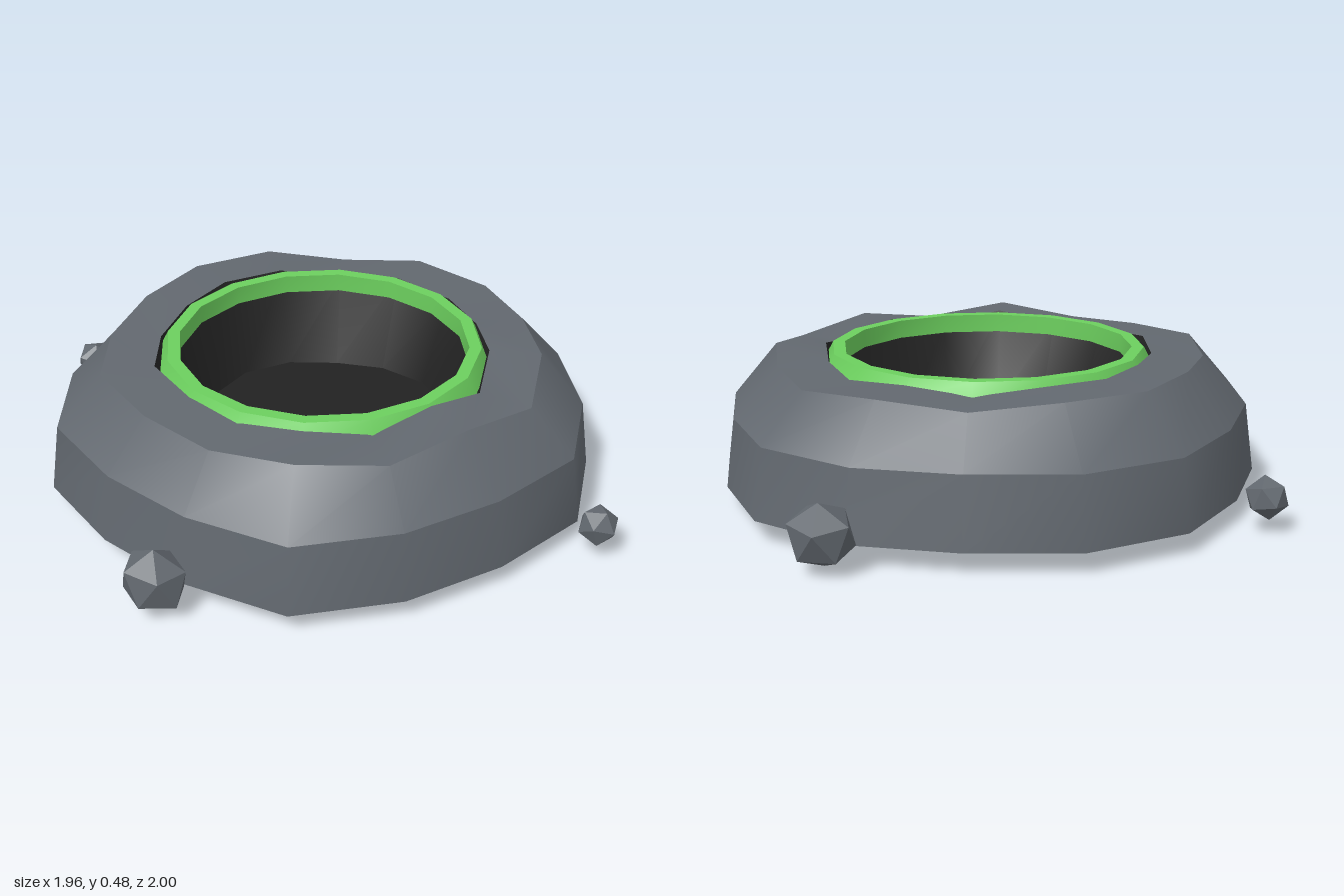
import * as THREE from 'three';

const rock = new THREE.MeshStandardMaterial({ color: 0x62686f });
rock.name = 'stone grey';
const pit = new THREE.MeshStandardMaterial({ color: 0x222222 });
pit.name = 'pit black';
const glow = new THREE.MeshStandardMaterial({ color: 0x6ccf5e });
glow.name = 'rim green';
const pebble = new THREE.MeshStandardMaterial({ color: 0x62686f });
pebble.name = 'pebble grey';
pebble.flatShading = true;

const SIDES = 16;
const CX = -0.015;

// Uneven radius of the mound and height of its rim, clockwise from the back
const RADII = [0.92, 0.91, 0.87, 0.9, 0.92, 0.88, 0.89, 0.92, 0.87, 0.88, 0.92, 0.87, 0.87, 0.92, 0.89, 0.88];
const TOPS = [0.48, 0.48, 0.45, 0.475, 0.46, 0.47, 0.485, 0.45, 0.49, 0.45, 0.49, 0.46, 0.47, 0.48, 0.47, 0.48];

const ring = (radiusAt, heightAt) => Array.from({ length: SIDES }, (_, k) => {
  const a = (k / SIDES) * Math.PI * 2;
  const r = radiusAt(k);
  return [CX + r * Math.sin(a), heightAt(k), -r * Math.cos(a)];
});
const uneven = (scale, y) => ring(k => RADII[k] * scale, typeof y === 'function' ? y : () => y);
const even = (r, y) => ring(() => r, () => y);

// One band between two rings: smooth around, creased against its neighbours
function band(name, from, to, material) {
  const index = [];
  for (let i = 0; i < SIDES; i++) {
    const j = (i + 1) % SIDES;
    index.push(i, SIDES + i, j, j, SIDES + i, SIDES + j);
  }
  const g = new THREE.BufferGeometry();
  g.setAttribute('position', new THREE.Float32BufferAttribute([...from, ...to].flat(), 3));
  g.setIndex(index);
  g.computeVertexNormals();
  const mesh = new THREE.Mesh(g, material);
  mesh.name = name;
  return mesh;
}

export function createModel() {
  const model = new THREE.Group();
  model.name = 'crater';

  // Rocky mound, from the underside up and over to the rim
  const base = uneven(1, 0.08);
  const shoulder = uneven(0.965, 0.305);
  const crown = uneven(0.8, k => TOPS[k] - 0.004);
  const lip = uneven(0.61, k => TOPS[k]);
  const floor = uneven(0.49, 0.16);
  const mound = new THREE.Group();
  mound.name = 'mound';
  mound.add(
    band('underside', even(0, 0.08), base, rock),
    band('lowerSide', base, shoulder, rock),
    band('upperSlope', shoulder, crown, rock),
    band('topFace', crown, lip, rock),
  );
  model.add(mound);

  // Dark hollow
  const hollow = new THREE.Group();
  hollow.name = 'hollow';
  hollow.add(
    band('hollowWall', lip, floor, pit),
    band('hollowFloor', floor, even(0, 0.16), pit),
  );
  model.add(hollow);

  // Green ring set into the rim
  const profile = [[0.548, 0.435], [0.518, 0.492], [0.478, 0.492], [0.478, 0.43]].map(([r, y]) => even(r, y));
  const greenRing = new THREE.Group();
  greenRing.name = 'greenRing';
  ['ringOuter', 'ringTop', 'ringInner', 'ringBottom'].forEach((name, i) =>
    greenRing.add(band(name, profile[i], profile[(i + 1) % 4], glow)));
  model.add(greenRing);

  // Loose stones around the foot, corner pointing up before they are turned
  const stone = new THREE.IcosahedronGeometry(1, 0).rotateZ(-Math.atan(2 / (1 + Math.sqrt(5))));
  [
    ['rightStone', [-0.9, 0.122, 0.31], 0.112, [0.05, 0.4, 0], 0.85],
    ['leftStone', [0.89, 0.127, -0.335], 0.108, [0, 0.7, -0.25], 0.9],
    ['frontStone', [0.33, 0.12, 0.94], 0.066, [Math.PI / 2, Math.PI / 2, 0], 1],
    ['backStone', [-0.35, 0.122, -0.932], 0.07, [0.2, 0.5, 0.1], 1],
  ].forEach(([name, position, size, turn, width]) => {
    const mesh = new THREE.Mesh(stone, pebble);
    mesh.name = name;
    mesh.position.set(...position);
    mesh.rotation.set(...turn);
    mesh.scale.set(size * width, size, size);
    model.add(mesh);
  });

  return model;
}
